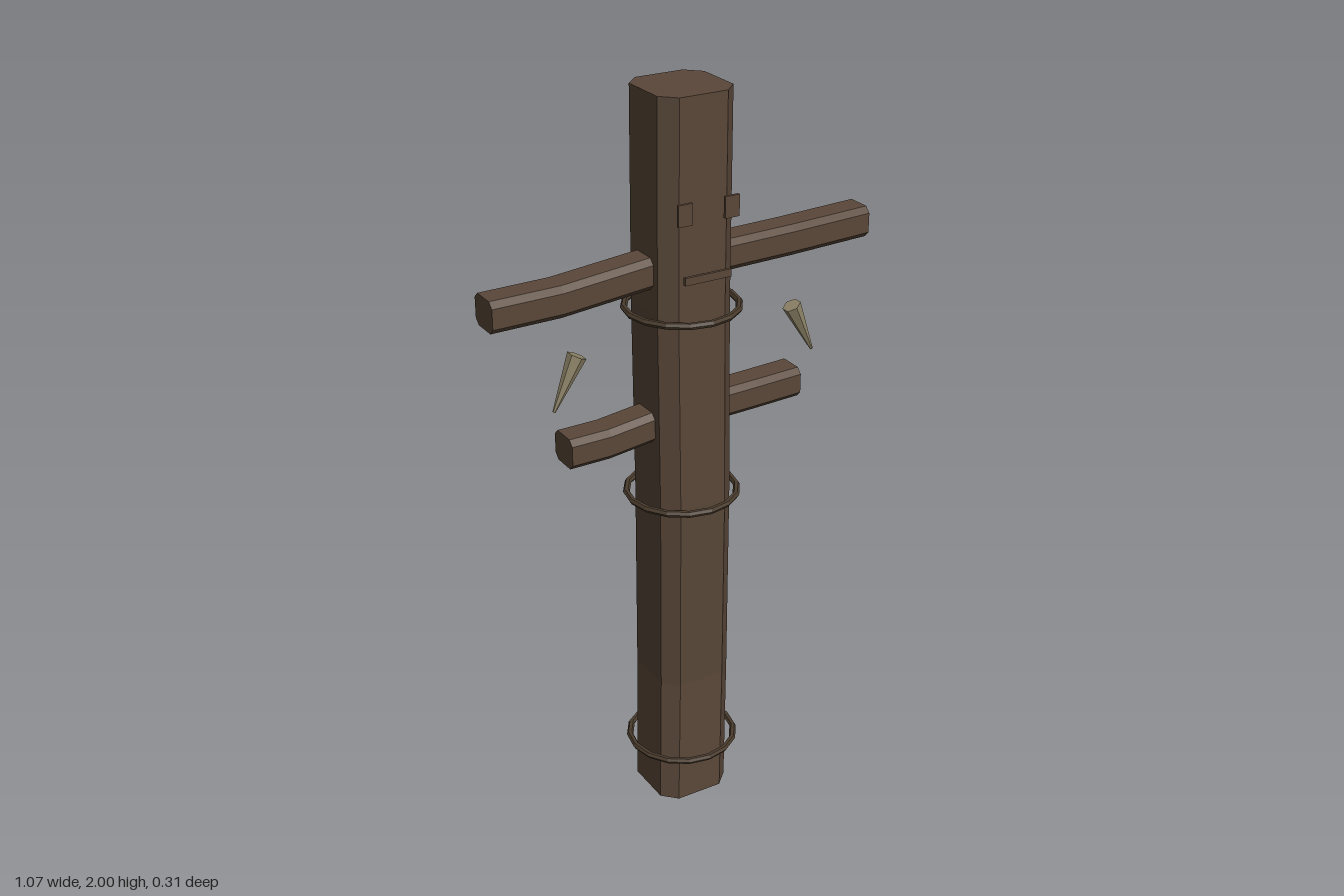
import * as THREE from 'three';

const wood = new THREE.MeshStandardMaterial({ color: 0x594738 });
wood.name = 'weathered wood';
const rope = new THREE.MeshStandardMaterial({ color: 0x4a3c2d });
rope.name = 'dark rope';
const bone = new THREE.MeshStandardMaterial({ color: 0x8f8468 });
bone.name = 'old bone';

// Faceted normals for a low-poly look
function faceted(geometry) {
  const flat = geometry.index ? geometry.toNonIndexed() : geometry;
  flat.computeVertexNormals();
  return flat;
}

function addMesh(parent, name, geometry, material) {
  const mesh = new THREE.Mesh(faceted(geometry), material);
  mesh.name = name;
  parent.add(mesh);
  return mesh;
}

// Squared timber with chamfered corners, lofted through a bent centre line.
// u and v span the cross-section; u x v points along the timber.
function timber(centres, u, v, hu, hv, chamfer) {
  const section = [
    [hu, -hv + chamfer], [hu, hv - chamfer], [hu - chamfer, hv], [-hu + chamfer, hv],
    [-hu, hv - chamfer], [-hu, -hv + chamfer], [-hu + chamfer, -hv], [hu - chamfer, -hv],
  ];
  const n = section.length;
  const positions = [];
  const index = [];
  const mid = centres.map((c) => new THREE.Vector3(...c));
  mid.forEach((c) => section.forEach(([a, b]) => {
    const p = c.clone().addScaledVector(u, a).addScaledVector(v, b);
    positions.push(p.x, p.y, p.z);
  }));
  const last = (mid.length - 1) * n;
  const startCap = mid.length * n;
  positions.push(...mid[0].toArray(), ...mid[mid.length - 1].toArray());
  for (let j = 0; j < n; j++) {
    const k = (j + 1) % n;
    for (let i = 0; i < last; i += n) {
      index.push(i + j, i + k, i + n + k, i + j, i + n + k, i + n + j);
    }
    index.push(startCap, k, j, startCap + 1, last + j, last + k);
  }
  const geometry = new THREE.BufferGeometry();
  geometry.setAttribute('position', new THREE.Float32BufferAttribute(positions, 3));
  geometry.setIndex(index);
  return geometry;
}

export function createModel() {
  const model = new THREE.Group();
  model.name = 'carvedPost';
  const X = new THREE.Vector3(1, 0, 0);
  const Y = new THREE.Vector3(0, 1, 0);
  const Z = new THREE.Vector3(0, 0, 1);

  // Slightly bent upright
  addMesh(model, 'post', timber([
    [-0.004, 0, 0], [0.006, 0.37, -0.009], [-0.002, 0.92, 0.007],
    [-0.006, 1.45, 0.004], [-0.004, 2, 0.004],
  ], Z, X, 0.104, 0.104, 0.038), wood);

  // Two crooked crossbeams running through the upright
  addMesh(model, 'upperCrossbeam', timber([
    [-0.537, 1.527, -0.002], [-0.35, 1.53, 0.001], [-0.1, 1.555, 0.004],
    [0.1, 1.56, 0.003], [0.3, 1.564, 0.004], [0.533, 1.57, 0],
  ], Y, Z, 0.041, 0.047, 0.015), wood);
  addMesh(model, 'lowerCrossbeam', timber([
    [-0.34, 1.119, -0.002], [-0.23, 1.122, 0.001], [-0.1, 1.14, 0.004],
    [0.1, 1.155, 0.003], [0.2, 1.158, 0.003], [0.335, 1.162, 0.001],
  ], Y, Z, 0.041, 0.047, 0.015), wood);

  // Rope hoops
  for (const y of [0.145, 0.92, 1.44]) {
    const hoop = addMesh(model, 'ropeHoop', new THREE.TorusGeometry(0.146, 0.009, 6, 16), rope);
    hoop.rotation.x = Math.PI / 2;
    hoop.position.y = y;
  }

  // Hanging fangs, splayed outward with the points down
  for (const side of [-1, 1]) {
    const top = new THREE.Vector3(side * 0.312, 1.381, 0.029);
    const tip = new THREE.Vector3(side * 0.379, 1.245, 0.029);
    const axis = top.clone().sub(tip);
    const fang = addMesh(model, side > 0 ? 'leftFang' : 'rightFang',
      new THREE.CylinderGeometry(0.025, 0.004, axis.length(), 6), bone);
    fang.position.copy(top).add(tip).multiplyScalar(0.5);
    fang.quaternion.setFromUnitVectors(Y, axis.normalize());
  }

  // Face plates standing just off the front
  for (const side of [-1, 1]) {
    const eye = addMesh(model, side > 0 ? 'leftEye' : 'rightEye',
      new THREE.BoxGeometry(0.04, 0.055, 0.008), wood);
    eye.position.set(side * 0.065, 1.722, 0.125);
  }
  const mouth = addMesh(model, 'mouth', new THREE.BoxGeometry(0.13, 0.02, 0.008), wood);
  mouth.position.set(0, 1.553, 0.123);

  return model;
}
